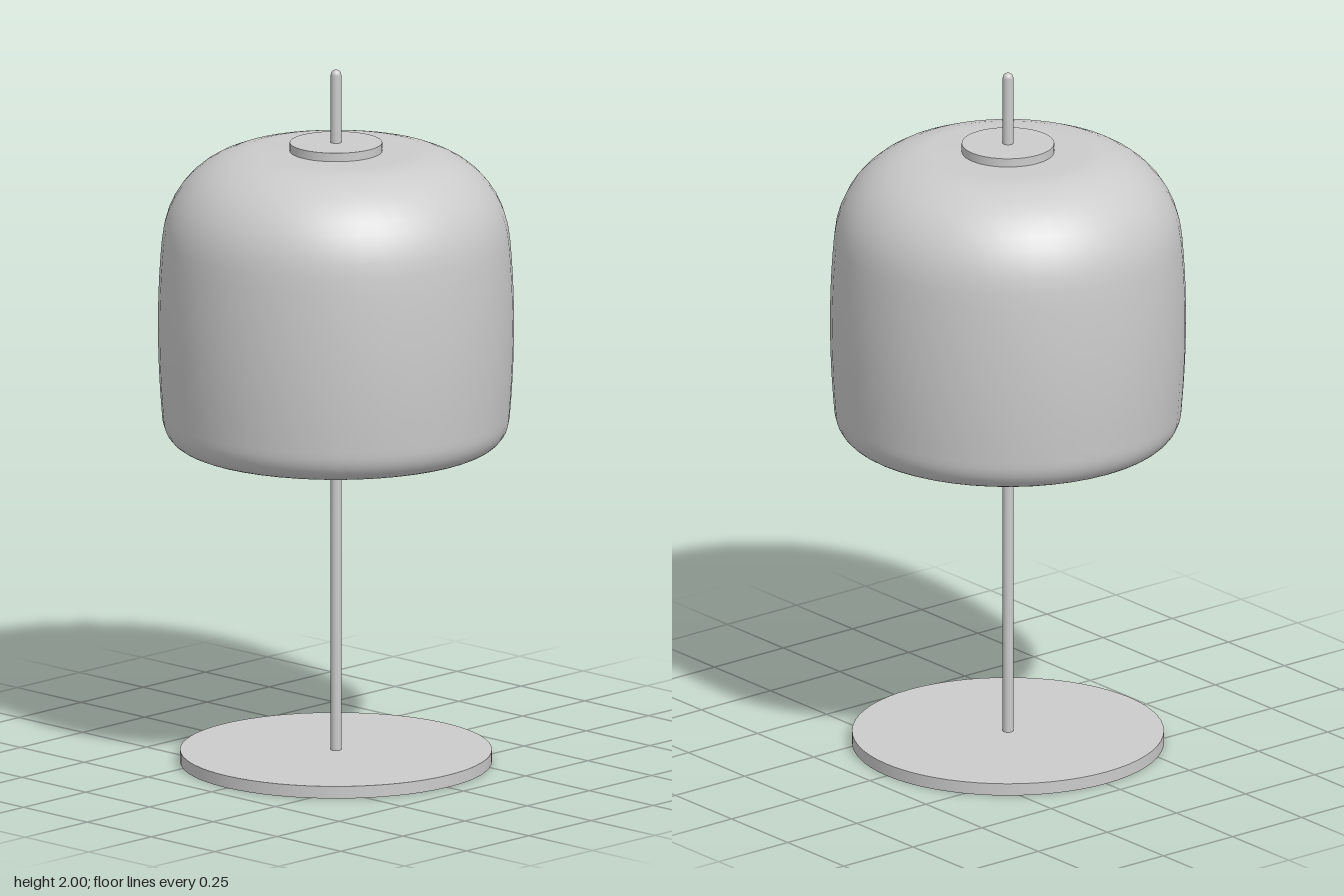
import * as THREE from 'three';

const material = new THREE.MeshStandardMaterial({ color: 0xcccccc });
const shellMaterial = new THREE.MeshStandardMaterial({ color: 0xcccccc, side: THREE.DoubleSide });

export function createModel() {
  const model = new THREE.Group();
  const add = (name, geometry, y = 0, mat = material) => {
    const mesh = new THREE.Mesh(geometry, mat);
    mesh.name = name;
    mesh.position.y = y;
    model.add(mesh);
    return mesh;
  };
  const disc = (radius, height, sides) => new THREE.CylinderGeometry(radius, radius, height, sides);

  // Flat round foot
  add('base', disc(0.438, 0.035, 64), 0.0175);

  // Stem from the foot through the shade, with a rounded tip
  const r = 0.015;
  const stem = [new THREE.Vector2(0, 0.03), new THREE.Vector2(r, 0.03)];
  for (let i = 0; i <= 6; i++) {
    const a = (i / 6) * Math.PI / 2;
    stem.push(new THREE.Vector2(r * Math.cos(a), 2 - r + r * Math.sin(a)));
  }
  add('stem', new THREE.LatheGeometry(stem, 20));

  // Hollow shade: rounded lower lip, slightly bulging wall, domed shoulder, flat top
  const profile = new THREE.Path();
  profile.moveTo(0.385, 0.917);
  profile.lineTo(0.405, 0.915);
  profile.bezierCurveTo(0.455, 0.917, 0.488, 0.95, 0.489, 1.01);
  profile.quadraticCurveTo(0.511, 1.27, 0.489, 1.51);
  profile.bezierCurveTo(0.478, 1.655, 0.37, 1.763, 0.22, 1.765);
  profile.lineTo(0, 1.766);
  add('shade', new THREE.LatheGeometry(profile.getPoints(10), 48), 0, shellMaterial);

  // Retaining disc on top of the shade
  add('topCap', disc(0.13, 0.03, 48), 1.775);

  return model;
}
